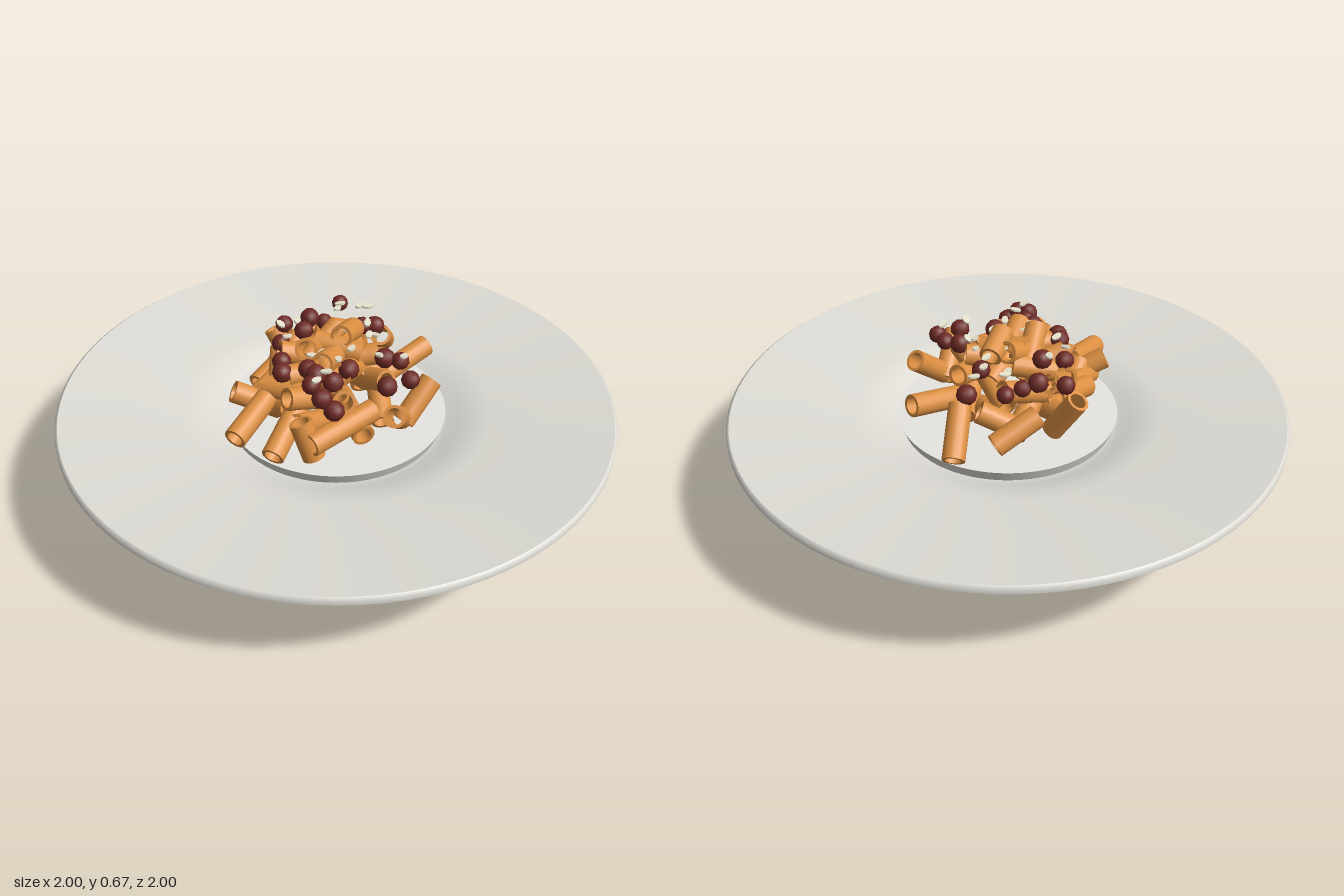
import * as THREE from 'three';
import { mergeGeometries } from 'three/addons/utils/BufferGeometryUtils.js';

// Each run of profile points is smooth; edges between runs stay sharp
function latheRuns(runs, sides) {
  return mergeGeometries(runs.map(run =>
    new THREE.LatheGeometry(run.map(p => new THREE.Vector2(p[0], p[1])), sides)));
}

function seeded(seed) {
  return () => {
    seed = (seed * 16807) % 2147483647;
    return seed / 2147483647;
  };
}

export function createModel() {
  const model = new THREE.Group();
  const material = (name, color) => {
    const m = new THREE.MeshStandardMaterial({ color });
    m.name = name;
    return m;
  };
  const ceramic = material('warm grey ceramic', 0xdddbd4);
  const white = material('white well floor', 0xf8f6f2);
  const pastaColor = material('sauced pasta', 0xdc8f42);
  const meatColor = material('dark red meat', 0x6e2a24);
  const cheeseColor = material('pale cheese', 0xe6e2cc);
  const random = seeded(417);

  const add = (parent, name, geometry, mat) => {
    const mesh = new THREE.Mesh(geometry, mat);
    mesh.name = name;
    parent.add(mesh);
    return mesh;
  };
  const group = name => {
    const g = new THREE.Group();
    g.name = name;
    model.add(g);
    return g;
  };

  // Wide-rimmed plate with a deep foot
  const bowl = group('plate');
  add(bowl, 'plateBody', latheRuns([
    [[0, 0], [0.35, 0]],
    [[0.35, 0], [0.365, 0.02], [0.38, 0.05]],
    [[0.38, 0.05], [0.398, 0.17], [0.415, 0.28], [0.55, 0.305], [0.78, 0.333], [1, 0.36]],
    [[1, 0.36], [1, 0.378], [0.99, 0.385]],
    [[0.99, 0.385], [0.75, 0.36], [0.56, 0.34], [0.51, 0.332], [0.45, 0.312], [0.41, 0.292], [0.385, 0.287]],
  ], 96), ceramic);
  add(bowl, 'wellFloorEdge', latheRuns([[[0.385, 0.287], [0.4, 0.328]]], 96), ceramic);
  add(bowl, 'wellFloor', latheRuns([[[0.4, 0.328], [0, 0.328]]], 96), white);

  // Hollow pasta tubes, each laid between two end points
  const pasta = group('pasta');
  const R = 0.04, r = 0.029;
  const tubeGeometry = latheRuns([
    [[R, -0.5], [R, 0.5]], [[R, 0.5], [r, 0.5]],
    [[r, 0.5], [r, -0.5]], [[r, -0.5], [R, -0.5]],
  ], 16);
  const up = new THREE.Vector3(0, 1, 0);
  const addTube = (x1, y1, z1, x2, y2, z2) => {
    const a = new THREE.Vector3(x1, y1, z1), b = new THREE.Vector3(x2, y2, z2);
    const tube = add(pasta, 'pastaTube', tubeGeometry, pastaColor);
    tube.position.copy(a).add(b).multiplyScalar(0.5);
    tube.scale.y = a.distanceTo(b);
    tube.quaternion.setFromUnitVectors(up, b.sub(a).normalize());
  };

  // Outer tubes
  [
    [0.17, 0.42, 0.02, 0.385, 0.465, -0.025],
    [0.25, 0.49, -0.13, 0.34, 0.37, -0.26],
    [0.05, 0.49, -0.31, 0.21, 0.42, -0.31],
    [-0.1, 0.51, -0.32, -0.05, 0.36, -0.24],
    [-0.25, 0.42, -0.13, -0.07, 0.47, -0.22],
    [-0.44, 0.41, 0.12, -0.26, 0.46, 0],
    [-0.35, 0.38, 0.23, -0.19, 0.46, 0.1],
    [-0.24, 0.44, 0.3, 0.02, 0.46, 0.24],
    [0.05, 0.49, 0.34, 0.15, 0.37, 0.22],
    [0.27, 0.49, 0.21, 0.14, 0.38, 0.25],
    [-0.37, 0.47, -0.06, -0.22, 0.39, 0],
    [-0.25, 0.5, 0.24, -0.22, 0.37, 0.28],
    [-0.32, 0.41, -0.04, -0.12, 0.45, -0.16],
    [0.08, 0.4, -0.24, 0.2, 0.47, -0.17],
  ].forEach(p => addTube(...p));

  // Heaped middle tubes, in rings that rise towards the centre
  [[9, 0.2, 0.41], [9, 0.17, 0.49], [7, 0.1, 0.54], [4, 0.05, 0.58]].forEach(([count, radius, height]) => {
    for (let i = 0; i < count; i++) {
      const angle = (i + random() * 0.6) / count * Math.PI * 2;
      const turn = random() * Math.PI * 2;
      const half = 0.07 + random() * 0.02;
      const lift = (random() - 0.5) * 0.09;
      const x = Math.cos(angle) * radius - 0.04, z = Math.sin(angle) * radius;
      const dx = Math.cos(turn) * half, dz = Math.sin(turn) * half;
      addTube(x - dx, height - lift, z - dz, x + dx, height + lift, z + dz);
    }
  });
  addTube(0.01, 0.635, 0.02, 0.1, 0.6, -0.06);

  // Meat pieces
  const meat = group('meat');
  const meatGeometry = new THREE.IcosahedronGeometry(0.034, 1);
  [
    [-0.08, 0.55, -0.27], [0.01, 0.57, -0.24], [0.15, 0.58, -0.27], [0.23, 0.53, -0.14],
    [-0.06, 0.59, -0.14], [-0.2, 0.57, -0.02], [-0.22, 0.56, 0.03], [-0.15, 0.59, 0.09],
    [-0.14, 0.59, 0.13], [-0.18, 0.59, 0.18], [-0.14, 0.53, 0.27], [0.07, 0.55, 0.25],
    [0.17, 0.57, 0.16], [0.16, 0.55, 0.25], [0.15, 0.58, -0.09], [0.13, 0.57, 0.12],
    [-0.15, 0.56, -0.14], [0.06, 0.55, -0.22], [-0.09, 0.56, 0.16], [-0.17, 0.57, 0.24],
    [-0.02, 0.58, 0.14],
  ].forEach(([x, y, z]) => {
    const piece = add(meat, 'meatPiece', meatGeometry, meatColor);
    piece.position.set(x, y, z);
    piece.rotation.set(random() * 6, random() * 6, random() * 6);
    piece.scale.setScalar(0.9 + random() * 0.2);
  });

  // Thin cheese flakes
  const cheese = group('cheese');
  const flakeGeometry = new THREE.CylinderGeometry(0.019, 0.019, 0.007, 8);
  [
    [0.1, -0.19], [0.17, -0.15], [0.21, -0.16], [0.12, -0.21], [-0.14, -0.16], [-0.07, -0.17],
    [0.05, -0.05], [0.12, -0.07], [0.13, 0.05], [0.11, 0.04], [-0.12, 0.06], [-0.08, 0.05],
    [0.08, 0.17], [0.16, 0.2], [-0.17, 0.2], [-0.12, 0.17], [-0.05, 0.12], [-0.15, -0.08],
    [0.02, 0.08], [0.14, -0.03],
  ].forEach(([x, z]) => {
    const flake = add(cheese, 'cheeseFlake', flakeGeometry, cheeseColor);
    flake.position.set(x, 0.605 + random() * 0.025, z);
    flake.rotation.set((random() - 0.5) * 0.4, random() * 6, (random() - 0.5) * 0.4);
    flake.scale.set(1.1, 1, 0.65);
  });

  return model;
}
